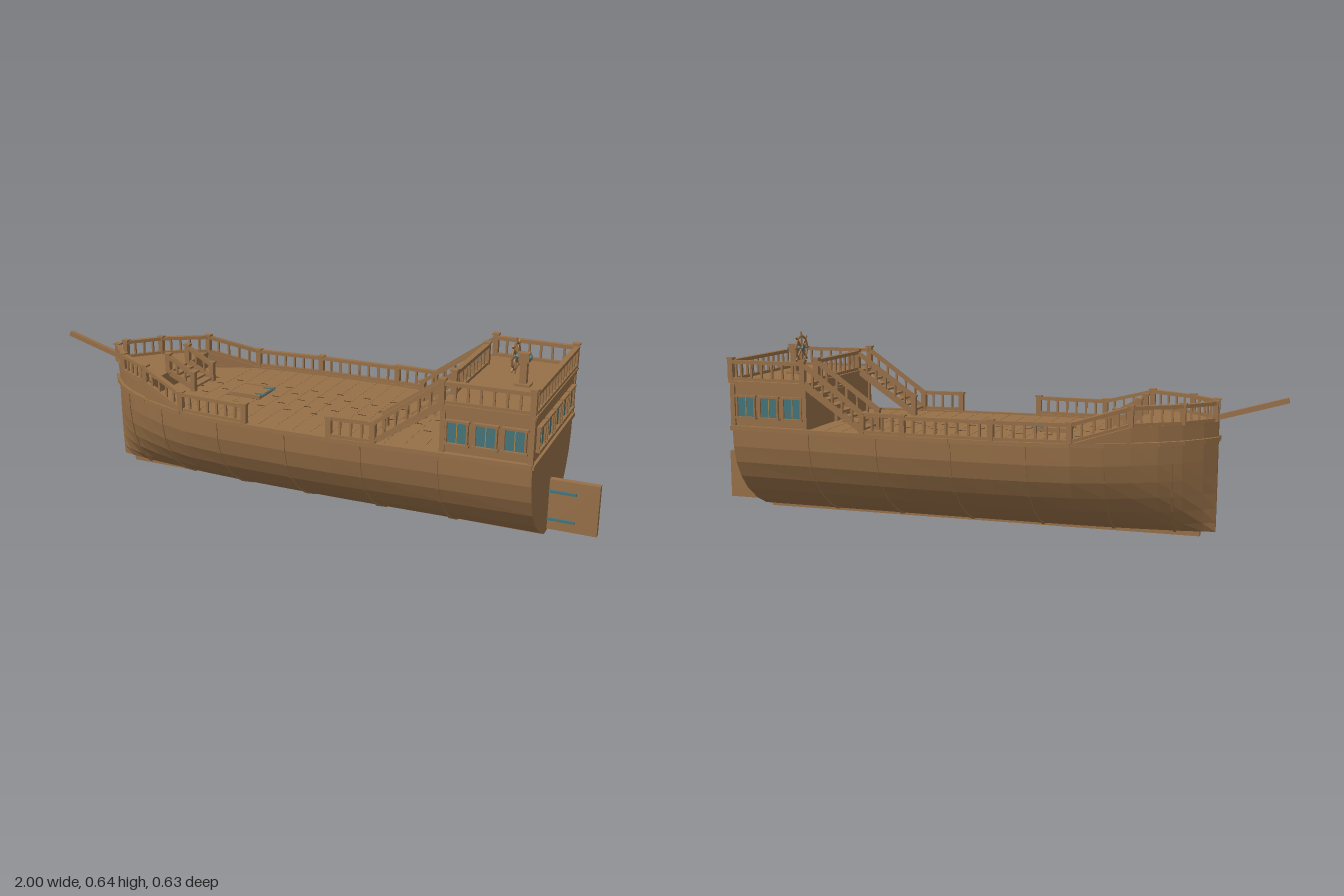
import * as THREE from 'three';

const wood = new THREE.MeshStandardMaterial({ color: 0x966f47 });
const glass = new THREE.MeshStandardMaterial({ color: 0x437379 });
const seam = new THREE.MeshStandardMaterial({ color: 0x50391f });
const brass = new THREE.MeshStandardMaterial({ color: 0xa88444 });
wood.name = 'wood'; glass.name = 'tealGlass'; seam.name = 'darkSeam'; brass.name = 'brass';

// Deck outline: x and half width
const outline = [[-0.78, 0.012], [-0.74, 0.065], [-0.68, 0.125], [-0.61, 0.175], [-0.53, 0.217], [-0.45, 0.253],
  [-0.35, 0.283], [-0.21, 0.298], [-0.1, 0.302], [0.04, 0.304], [0.2, 0.302], [0.34, 0.293], [0.56, 0.279], [0.84, 0.265]];
// Half section of the hull: share of the half width and y
const section = [[1, 0.33], [0.985, 0.262], [0.93, 0.205], [0.82, 0.15], [0.655, 0.098], [0.4, 0.048], [0.16, 0.017]];

function halfWidth(x) {
  for (let i = 1; i < outline.length; i++) {
    const [x0, w0] = outline[i - 1], [x1, w1] = outline[i];
    if (x <= x1) return w0 + (w1 - w0) * (x - x0) / (x1 - x0);
  }
  return outline[outline.length - 1][1];
}

function add(parent, name, geo, mat, x = 0, y = 0, z = 0) {
  const m = new THREE.Mesh(geo, mat);
  m.name = name;
  m.position.set(x, y, z);
  parent.add(m);
  return m;
}
const box = (p, name, w, h, d, x, y, z, mat = wood) => add(p, name, new THREE.BoxGeometry(w, h, d), mat, x, y, z);

// Box running from a to b
function beam(p, name, a, b, w, h, mat = wood) {
  const A = new THREE.Vector3(...a), B = new THREE.Vector3(...b);
  const m = box(p, name, w, h, A.distanceTo(B), 0, 0, 0, mat);
  m.position.copy(A).add(B).multiplyScalar(0.5);
  m.lookAt(B);
  return m;
}

// Closed mirrored body lofted through stations [x, half width]
function loft(stations, profile, grow = 0) {
  const ring = [...profile.map(([f, y]) => [f, y, 1]), ...[...profile].reverse().map(([f, y]) => [f, y, -1])];
  const n = ring.length, pos = [], idx = [];
  for (const [x, w] of stations)
    for (const [f, y, s] of ring) pos.push(x, y - grow * (1 - f), s * (w * f + grow));
  for (let i = 0; i < stations.length - 1; i++)
    for (let j = 0; j < n; j++) {
      const k = (j + 1) % n, a = i * n + j, d = i * n + k;
      idx.push(a, d, d + n, a, d + n, a + n);
    }
  const e = (stations.length - 1) * n;
  for (let j = 1; j < n - 1; j++) idx.push(e, e + j, e + j + 1, 0, j + 1, j);
  const g = new THREE.BufferGeometry();
  g.setAttribute('position', new THREE.Float32BufferAttribute(pos, 3));
  g.setIndex(idx);
  const flat = g.toNonIndexed();
  flat.computeVertexNormals();
  return flat;
}

function post(p, x, y, z, h, s = 0.018) {
  box(p, 'railPost', s, h, s, x, y + h / 2, z);
  box(p, 'postCap', s + 0.006, 0.006, s + 0.006, x, y + h, z);
}

// Railing between two foot points, with balusters
function railing(p, a, b, h) {
  const lift = ([x, y, z], d) => [x, y + d, z];
  beam(p, 'topRail', lift(a, h - 0.006), lift(b, h - 0.006), 0.018, 0.012);
  beam(p, 'bottomRail', lift(a, 0.006), lift(b, 0.006), 0.014, 0.01);
  const n = Math.max(2, Math.round(Math.hypot(b[0] - a[0], b[2] - a[2]) / 0.038));
  for (let i = 1; i < n; i++) {
    const t = i / n, q = a.map((v, k) => v + (b[k] - v) * t);
    box(p, 'baluster', 0.007, h - 0.01, 0.007, q[0], q[1] + h / 2, q[2]);
  }
}

function windowUnit(p, x, y, z, turn, w, h) {
  const g = new THREE.Group();
  g.name = 'window';
  g.position.set(x, y, z);
  g.rotation.y = turn;
  p.add(g);
  box(g, 'pane', w, h, 0.006, 0, 0, 0.002, glass);
  for (const s of [-1, 1]) {
    box(g, 'frameSide', 0.006, h + 0.012, 0.014, s * (w / 2 + 0.003), 0, 0.004);
    box(g, 'frameBar', w + 0.02, 0.007, 0.018, 0, s * (h / 2 + 0.004), 0.005);
  }
  box(g, 'mullion', 0.003, h, 0.008, 0, 0, 0.003, brass);
}

// Open staircase climbing from x0 to x1
function stairs(p, x0, y0, x1, y1, zc, width, steps) {
  for (let i = 0; i < steps; i++) {
    const t = (i + 0.5) / steps;
    box(p, 'stairTread', Math.abs(x1 - x0) / steps + 0.004, 0.007, width, x0 + (x1 - x0) * t, y0 + (y1 - y0) * (i + 1) / (steps + 1), zc);
  }
  for (const s of [-1, 1])
    beam(p, 'stairStringer', [x0, y0 + 0.008, zc + s * width / 2], [x1, y1 - 0.005, zc + s * width / 2], 0.008, 0.02);
}

export function createModel() {
  const ship = new THREE.Group();
  ship.name = 'sailingShip';
  const part = (name) => { const g = new THREE.Group(); g.name = name; ship.add(g); return g; };

  // Hull, keel and hull bands
  const hull = part('hullGroup');
  add(hull, 'hull', loft(outline, section), wood);
  box(hull, 'keel', 1.56, 0.02, 0.022, 0.05, 0.01, 0);
  for (const x of [-0.65, -0.45, -0.21, 0.04, 0.3, 0.55])
    add(hull, 'hullBand', loft([[x - 0.004, halfWidth(x - 0.004)], [x + 0.004, halfWidth(x + 0.004)]],
      section.map(([f, y]) => [f, Math.min(y, 0.325)]), 0.004), wood);
  for (const s of [-1, 1])
    for (let i = 1; i < outline.length; i++) {
      const [x0, w0] = outline[i - 1], [x1, w1] = outline[i];
      beam(hull, 'gunwale', [x0, 0.329, s * w0], [x1, 0.329, s * w1], 0.02, 0.014);
    }
  box(hull, 'sternLedge', 0.014, 0.014, 0.54, 0.84, 0.326, 0);

  // Deck planking joints
  const deck = part('mainDeck');
  for (let r = -2; r <= 2; r++)
    for (let i = 0; i < 10; i++) {
      const x = -0.44 + i * 0.1 + (r & 1) * 0.05;
      if (x < 0.54) box(deck, 'plankJoint', 0.026, 0.002, 0.004, x, 0.3305, r * 0.055, seam);
    }
  for (let x = -0.4; x < 0.54; x += 0.062)
    box(deck, 'deckPlank', 0.056, 0.001, halfWidth(x) * 1.92, x, 0.3302, 0);

  // Hatch
  box(deck, 'hatchLid', 0.115, 0.012, 0.105, -0.232, 0.336, 0);
  for (const s of [-1, 1]) {
    box(deck, 'hatchHinge', 0.035, 0.003, 0.006, -0.185, 0.3435, s * 0.035, glass);
    box(deck, 'hatchRim', 0.12, 0.016, 0.006, -0.232, 0.337, s * 0.054);
  }
  box(deck, 'hatchStrap', 0.004, 0.003, 0.1, -0.166, 0.3425, 0, glass);

  // Raised bow deck with a small stair
  const bow = part('bowDeck');
  const foreStations = outline.filter(([x]) => x <= -0.53);
  add(bow, 'bowDeckBody', loft(foreStations, [[0.98, 0.38], [0.98, 0.33]]), wood);
  add(bow, 'bowDeckEdge', loft(foreStations, [[1, 0.388], [1, 0.376]], 0.005), wood);
  stairs(bow, -0.43, 0.33, -0.53, 0.388, 0, 0.12, 4);
  for (const s of [-1, 1]) {
    const z = s * 0.066;
    post(bow, -0.53, 0.385, z, 0.07);
    post(bow, -0.43, 0.33, z, 0.07);
    railing(bow, [-0.43, 0.335, z], [-0.53, 0.39, z], 0.062);
    // Sloping side board
    const dx = 0.18, dz = s * (halfWidth(-0.35) - halfWidth(-0.53)), len = Math.hypot(dx, dz);
    const tri = new THREE.Shape([[0, 0], [len, 0], [0, 0.052]].map((q) => new THREE.Vector2(...q)));
    const g = new THREE.ExtrudeGeometry(tri, { depth: 0.012, bevelEnabled: false }).translate(0, 0, -0.006);
    add(bow, 'slopingBoard', g, wood, -0.53, 0.334, s * halfWidth(-0.53)).rotation.y = -Math.atan2(dz, dx);
  }
  beam(bow, 'bowsprit', [-0.75, 0.39, 0], [-0.997, 0.461, 0], 0.017, 0.017);

  // Side railings; the left one has a boarding gap
  const rails = part('sideRailings');
  const stops = [[-0.77, 0.387], [-0.68, 0.387], [-0.53, 0.387], [-0.35, 0.336], [-0.1, 0.336], [0.2, 0.336], [0.345, 0.336], [0.56, 0.492], [0.835, 0.492]];
  for (const s of [-1, 1])
    stops.forEach(([x, y], i) => {
      const z = s * (halfWidth(x) + (x > 0.5 ? 0.004 : 0));
      post(rails, x, y, z, x > 0.5 ? 0.076 : 0.066);
      if (i === 0 || (s === 1 && i === 5)) return;
      const [px, py] = stops[i - 1];
      railing(rails, [px, py, s * halfWidth(px)], [x, y, z], x > 0.3 ? 0.07 : 0.065);
    });

  // Stern cabin
  const cabin = part('sternCabin');
  const cabinStations = [[0.56, 0.27], [0.838, 0.26]];
  add(cabin, 'cabinWalls', loft(cabinStations, [[1, 0.478], [1, 0.33]]), wood);
  add(cabin, 'quarterDeck', loft([[0.55, 0.284], [0.848, 0.272]], [[1, 0.49], [1, 0.484]]), wood);
  add(cabin, 'cabinCornice', loft([[0.555, 0.278], [0.843, 0.266]], [[1, 0.484], [1, 0.47]]), wood);
  for (const s of [-1, 1]) {
    for (const x of [0.607, 0.696, 0.784])
      windowUnit(cabin, x, 0.402, s * (0.27 - (x - 0.56) * 0.036), s > 0 ? 0 : Math.PI, 0.06, 0.066);
    for (const x of [0.562, 0.834]) box(cabin, 'cornerPost', 0.016, 0.15, 0.016, x, 0.405, s * (x < 0.7 ? 0.269 : 0.262));
  }
  for (const z of [-0.19, -0.095, 0, 0.095, 0.19])
    windowUnit(cabin, 0.838, 0.402, z, Math.PI / 2, 0.062, 0.066);
  box(cabin, 'door', 0.008, 0.115, 0.07, 0.557, 0.388, 0);
  for (const s of [-1, 1]) box(cabin, 'doorFrame', 0.014, 0.122, 0.008, 0.556, 0.391, s * 0.039);
  box(cabin, 'doorLintel', 0.014, 0.008, 0.09, 0.556, 0.452, 0);
  box(cabin, 'doorKnob', 0.006, 0.006, 0.006, 0.551, 0.385, 0.026, glass);

  // Twin stairs and quarterdeck railings
  const poop = part('quarterDeckRailings');
  for (const s of [-1, 1]) {
    stairs(poop, 0.345, 0.33, 0.56, 0.49, s * 0.228, 0.1, 8);
    post(poop, 0.34, 0.33, s * 0.172, 0.072);
    post(poop, 0.562, 0.49, s * 0.172, 0.076);
    railing(poop, [0.34, 0.336, s * 0.172], [0.562, 0.492, s * 0.172], 0.07);
  }
  railing(poop, [0.562, 0.49, -0.172], [0.562, 0.49, 0.172], 0.072);
  railing(poop, [0.838, 0.49, -0.268], [0.838, 0.49, 0.268], 0.072);

  // Steering wheel on its stand
  const helm = part('helm');
  box(helm, 'helmBase', 0.05, 0.008, 0.04, 0.732, 0.494, 0);
  box(helm, 'helmStand', 0.022, 0.08, 0.022, 0.732, 0.532, 0);
  box(helm, 'helmHead', 0.034, 0.03, 0.026, 0.732, 0.582, 0);
  add(helm, 'wheelRim', new THREE.TorusGeometry(0.043, 0.004, 6, 28).rotateY(Math.PI / 2), wood, 0.703, 0.583, 0);
  for (let i = 0; i < 4; i++)
    box(helm, 'wheelSpokes', 0.005, 0.117, 0.006, 0.703, 0.583, 0).rotation.x = i * Math.PI / 4;
  add(helm, 'wheelHub', new THREE.CylinderGeometry(0.009, 0.009, 0.06, 12).rotateZ(Math.PI / 2), glass, 0.724, 0.583, 0);

  // Rudder with hinge straps
  const rudder = part('rudderGroup');
  box(rudder, 'rudder', 0.162, 0.172, 0.022, 0.919, 0.109, 0);
  for (const y of [0.06, 0.156])
    box(rudder, 'rudderHinge', 0.09, 0.008, 0.008, 0.883, y, 0.015, glass);

  return ship;
}
